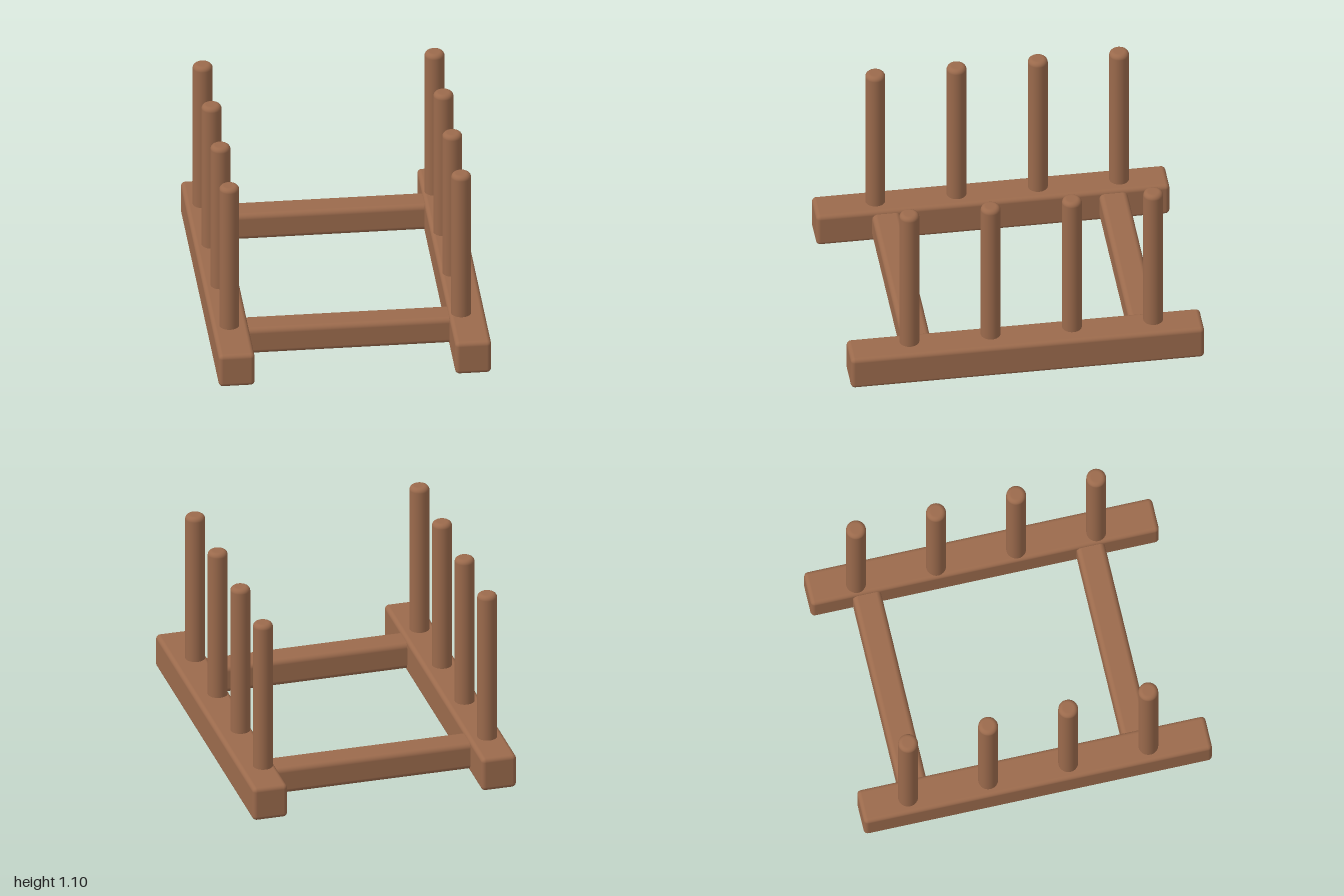
import * as THREE from 'three';
import { RoundedBoxGeometry } from 'three/addons/geometries/RoundedBoxGeometry.js';

const wood = new THREE.MeshStandardMaterial({ color: 0x9b6a4c });

function add(parent, name, geometry, x, y, z) {
  const mesh = new THREE.Mesh(geometry, wood);
  mesh.name = name;
  mesh.position.set(x, y, z);
  parent.add(mesh);
}

// Round dowel with a softened top edge, standing on its own origin
function dowelGeometry(radius, height, round) {
  const profile = [new THREE.Vector2(0, 0), new THREE.Vector2(radius, 0), new THREE.Vector2(radius, 0.01)];
  for (let i = 0; i <= 6; i++) {
    const a = (i / 6) * Math.PI / 2;
    profile.push(new THREE.Vector2(
      radius - round + round * Math.cos(a),
      height - round + round * Math.sin(a)));
  }
  profile.push(new THREE.Vector2(0, height));
  return new THREE.LatheGeometry(profile, 32);
}

export function createModel() {
  const rack = new THREE.Group();
  rack.name = 'dowelRack';

  // Two long side rails
  const rail = new RoundedBoxGeometry(0.203, 0.203, 2, 4, 0.025);
  add(rack, 'leftRail', rail, 0.665, 0.103, 0);
  add(rack, 'rightRail', rail, -0.667, 0.103, 0);

  // Two cross bars let into the rails
  const bar = new RoundedBoxGeometry(1.2, 0.162, 0.162, 4, 0.03);
  add(rack, 'frontCrossBar', bar, 0, 0.105, 0.604);
  add(rack, 'backCrossBar', bar, 0, 0.105, -0.681);

  // Four upright dowels on each rail
  const bottom = 0.1;
  const dowel = dowelGeometry(0.056, 1.105 - bottom, 0.026);
  for (let i = 0; i < 4; i++) {
    const z = 0.652 - i * 0.46;
    add(rack, 'leftDowel' + (i + 1), dowel, 0.633, bottom, z);
    add(rack, 'rightDowel' + (i + 1), dowel, -0.673, bottom, z);
  }
  return rack;
}
